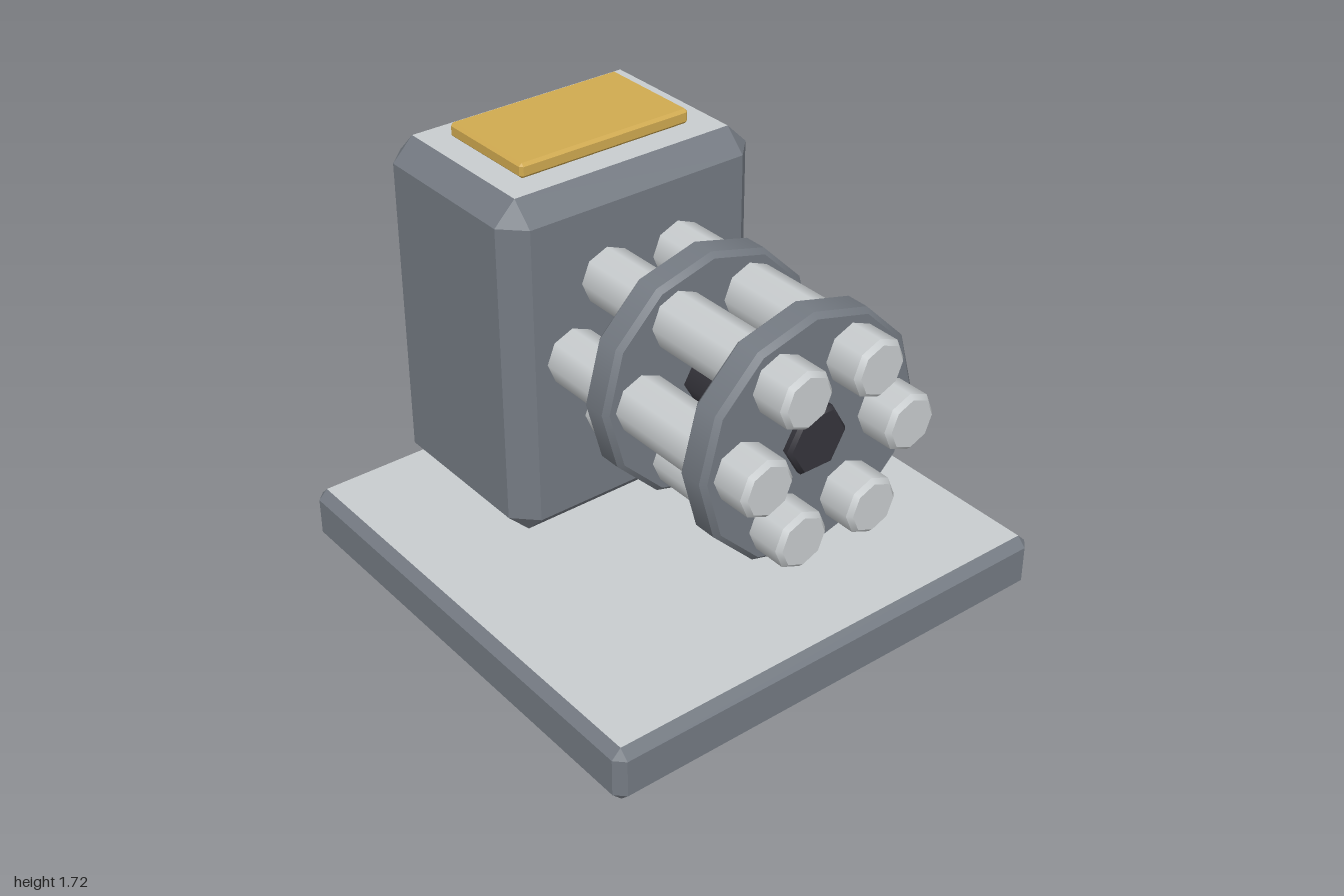
import * as THREE from 'three';
import { mergeGeometries } from 'three/addons/utils/BufferGeometryUtils.js';
import { ConvexGeometry } from 'three/addons/geometries/ConvexGeometry.js';

const material = (name, color) => {
  const m = new THREE.MeshStandardMaterial({ color });
  m.name = name;
  return m;
};

// Box with all twelve edges cut by c; group 1 holds the flat top and bottom
function chamferBox(w, h, d, c) {
  const points = [];
  for (const sx of [-1, 1]) for (const sy of [-1, 1]) for (const sz of [-1, 1]) {
    const [x, y, z] = [sx * w / 2, sy * h / 2, sz * d / 2];
    points.push(
      new THREE.Vector3(x, y - sy * c, z - sz * c),
      new THREE.Vector3(x - sx * c, y, z - sz * c),
      new THREE.Vector3(x - sx * c, y - sy * c, z)
    );
  }
  const geometry = new ConvexGeometry(points);
  const normal = geometry.attributes.normal;
  for (let i = 0; i < normal.count; i += 3) {
    geometry.addGroup(i, 3, Math.abs(normal.getY(i)) > 0.99 ? 1 : 0);
  }
  return geometry;
}

// Rod along z with bevelled ends: smooth around, sharp at the bevels
function bevelRod(radius, sides, z0, z1, bevel, turn = 0) {
  const length = z1 - z0;
  const inner = radius - bevel;
  const piece = (top, bottom, height, y, open) =>
    new THREE.CylinderGeometry(top, bottom, height, sides, 1, open).translate(0, y, 0);
  const endY = length / 2 - bevel / 2;
  const cap = new THREE.CircleGeometry(inner, sides, Math.PI / 2);
  const parts = [
    piece(radius, radius, length - 2 * bevel, 0, true),
    piece(inner, radius, bevel, endY, true),
    piece(radius, inner, bevel, -endY, true),
    cap.clone().rotateX(-Math.PI / 2).translate(0, length / 2, 0),
    cap.clone().rotateX(Math.PI / 2).translate(0, -length / 2, 0)
  ];
  return mergeGeometries(parts)
    .rotateY(turn)
    .rotateX(Math.PI / 2)
    .translate(0, 0, (z0 + z1) / 2);
}

export function createModel() {
  const steel = material('gunmetal grey', 0x747a82);
  const light = material('light steel', 0xc8ccce);
  const dark = material('dark steel', 0x35343b);
  const gold = material('gold', 0xd0aa50);

  const model = new THREE.Group();
  model.name = 'rotaryTurret';
  const add = (parent, name, geometry, mat, x = 0, y = 0, z = 0) => {
    const mesh = new THREE.Mesh(geometry, mat);
    mesh.name = name;
    mesh.position.set(x, y, z);
    parent.add(mesh);
  };

  // Base slab, housing and the plate on its roof
  add(model, 'base', chamferBox(2, 0.23, 2, 0.038), [steel, light], 0, 0.115, 0);
  add(model, 'housing', chamferBox(1.152, 1.425, 0.844, 0.09), [steel, light], 0, 0.9425, -0.578);
  add(model, 'roofPlate', chamferBox(0.768, 0.06, 0.46, 0.012), [gold, gold], 0, 1.685, -0.58);

  // Barrel cluster around a central spindle
  const cluster = new THREE.Group();
  cluster.name = 'barrelCluster';
  cluster.position.y = 1.003;
  model.add(cluster);

  const barrel = bevelRod(0.115, 8, -0.16, 0.962, 0.018);
  for (let i = 0; i < 6; i++) {
    const a = i * Math.PI / 3;
    add(cluster, `barrel${i + 1}`, barrel, light, 0.327 * Math.cos(a), 0.327 * Math.sin(a), 0);
  }
  add(cluster, 'spindle', bevelRod(0.135, 6, -0.16, 0.842, 0.014, Math.PI / 6), dark);

  // Clamp rings holding the barrels
  const ring = bevelRod(0.49, 12, -0.066, 0.066, 0.02);
  add(cluster, 'frontClampRing', ring, steel, 0, 0, 0.742);
  add(cluster, 'rearClampRing', ring, steel, 0, 0, 0.203);

  return model;
}
